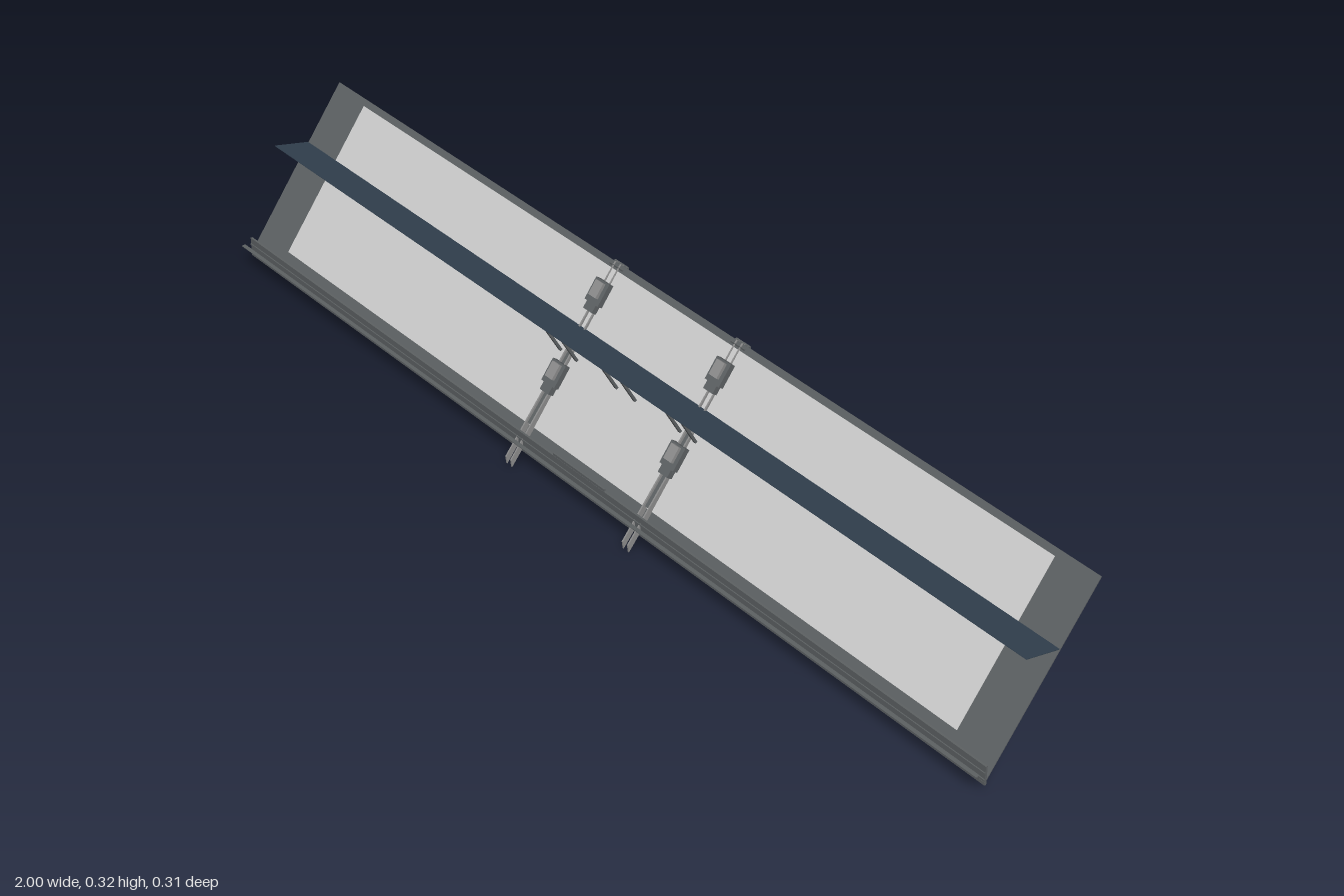
import * as THREE from 'three';

const mat = (color) => new THREE.MeshStandardMaterial({ color, side: THREE.DoubleSide, flatShading: true });
const grey = mat(0xcccccc);
const steel = mat(0x8c8c8c);
const dark = mat(0x5c6062);
const blue = mat(0x32414f);

function add(parent, name, geometry, material, x = 0, y = 0, z = 0) {
  const mesh = new THREE.Mesh(geometry, material);
  mesh.name = name;
  mesh.position.set(x, y, z);
  parent.add(mesh);
  return mesh;
}
const box = (w, h, d) => new THREE.BoxGeometry(w, h, d);

// Side plate: [z, y] outline extruded along x, centred on x = 0
function sidePlate(points, thickness) {
  const shape = new THREE.Shape(points.map(([z, y]) => new THREE.Vector2(z, y)));
  const g = new THREE.ExtrudeGeometry(shape, { depth: thickness, bevelEnabled: false });
  return g.translate(0, 0, -thickness / 2).rotateY(-Math.PI / 2);
}

// Thin sheet or bar between two [z, y] points, running along x
function bar(a, b, width, thickness) {
  const dz = b[0] - a[0], dy = b[1] - a[1];
  const g = box(width, thickness, Math.hypot(dz, dy));
  g.rotateX(-Math.atan2(dy, dz));
  return g.translate(0, (a[1] + b[1]) / 2, (a[0] + b[0]) / 2);
}

export function createModel() {
  const model = new THREE.Group();
  const low = [0.128, 0.03], high = [-0.105, 0.326];

  // Sloping board with a lighter inset face
  const board = new THREE.Group();
  board.name = 'slopingBoard';
  board.position.set(0, low[1], low[0]);
  board.rotation.x = -Math.atan2(low[0] - high[0], high[1] - low[1]);
  model.add(board);
  add(board, 'boardBacking', box(2, 0.376, 0.002), dark, 0, 0.188, 0);
  add(board, 'boardFace', box(1.82, 0.32, 0.001), grey, 0, 0.203, 0.0015);

  // Lower lip and the slim strip in front of it
  add(model, 'lowerLip', box(2, 0.04, 0.004), dark, 0, 0.044, 0.1265);
  for (const y of [0.036, 0.05]) add(model, 'lipRib', box(2, 0.003, 0.003), dark, 0, y, 0.129);
  add(model, 'lipTab', box(0.14, 0.006, 0.003), dark, 0, 0.066, 0.1265);
  add(model, 'frontStrip', box(2, 0.0012, 0.008), dark, 0, 0.054, 0.146);

  // Long shelf blade rising outwards, with its struts
  add(model, 'shelfBlade', bar([-0.021, 0.223], [0.056, 0.245], 2, 0.0012), blue);
  for (const x of [-0.185, -0.14, -0.03, 0.02, 0.14, 0.18]) {
    add(model, 'shelfStrut', bar([0.014, 0.18], [0.047, 0.24], 0.006, 0.005), dark, x);
  }

  // Two arms, each a pair of rails with clamps in front and gussets behind
  const rail = [[0.157, 0.018], [0.155, 0.002], [-0.115, 0.318], [-0.103, 0.327]];
  const upperGusset = [[-0.055, 0.25], [-0.117, 0.214], [-0.155, 0.258], [-0.108, 0.324]];
  const lowerGusset = [[0.062, 0.11], [-0.012, 0.12], [0.02, 0.148], [0.06, 0.13]];
  for (const x of [-0.163, 0.16]) {
    const arm = new THREE.Group();
    arm.name = 'supportArm';
    arm.position.x = x;
    model.add(arm);
    for (const s of [-1, 1]) {
      add(arm, 'rail', sidePlate(rail, 0.003), steel, s * 0.007);
      add(arm, 'upperGusset', sidePlate(upperGusset, 0.003), dark, s * 0.012);
      add(arm, 'lowerGusset', sidePlate(lowerGusset, 0.003), dark, s * 0.011);
    }
    add(arm, 'railWeb', bar([0.105, 0.07], [-0.105, 0.317], 0.012, 0.003), dark);
    add(arm, 'upperGussetWeb', bar([-0.117, 0.215], [-0.154, 0.258], 0.024, 0.003), dark);
    add(arm, 'lowerGussetWeb', bar([0.06, 0.111], [-0.011, 0.12], 0.022, 0.003), dark);
    // Front clamps
    for (const [u, name] of [[0.148, 'lowerClamp'], [0.314, 'upperClamp']]) {
      const clamp = new THREE.Group();
      clamp.name = name;
      clamp.position.copy(board.position).setX(0);
      clamp.rotation.copy(board.rotation);
      arm.add(clamp);
      add(clamp, 'clampBase', box(0.036, 0.045, 0.012), dark, 0, u, 0.01);
      add(clamp, 'clampCap', box(0.02, 0.03, 0.008), steel, 0, u + 0.004, 0.019);
      add(clamp, 'clampFoot', box(0.024, 0.016, 0.012), dark, 0, u - 0.03, 0.009);
    }
    add(arm, 'topHook', bar([-0.098, 0.318], [-0.113, 0.318], 0.036, 0.008), dark);
  }
  return model;
}
